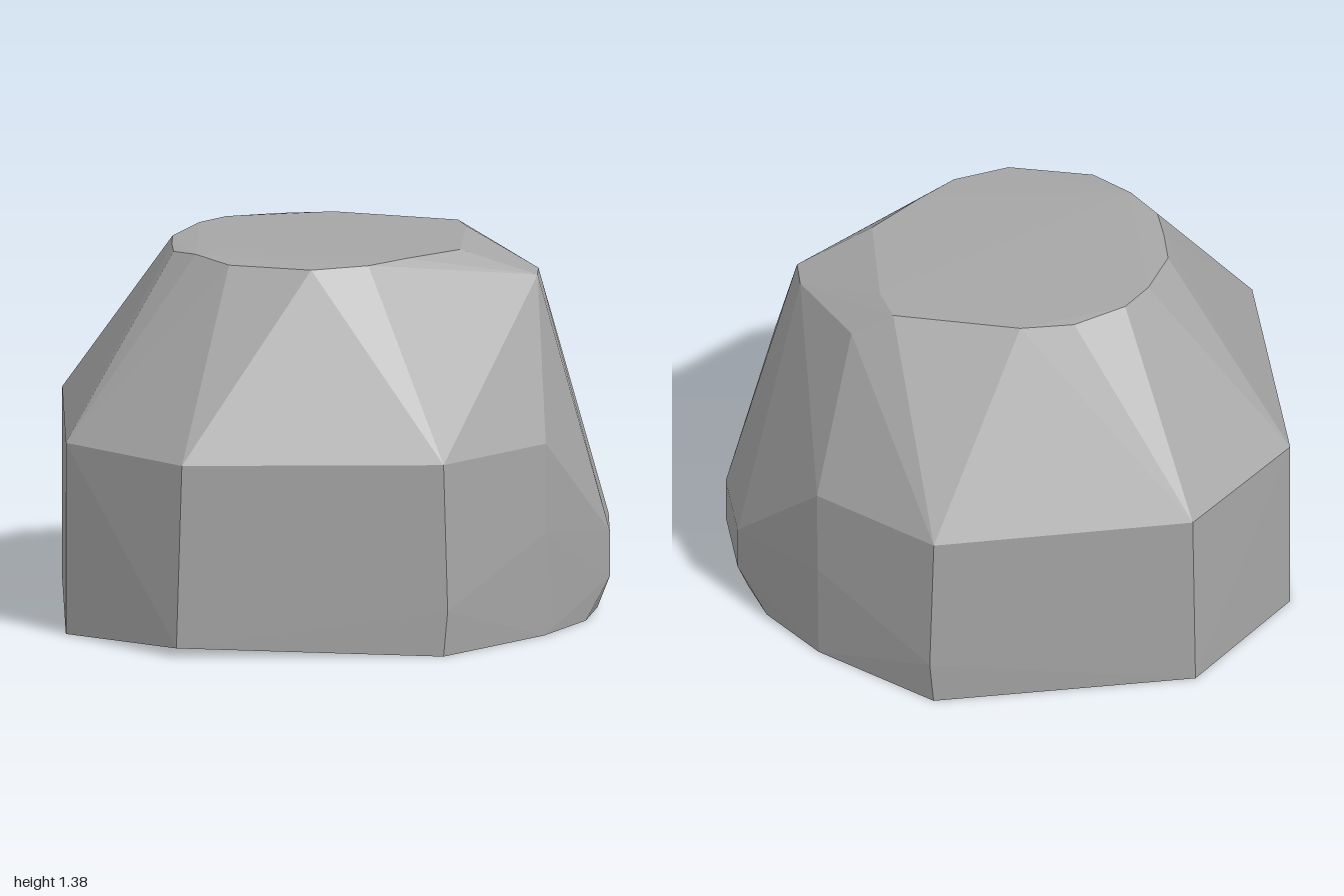
import * as THREE from 'three';
import { ConvexGeometry } from 'three/addons/geometries/ConvexGeometry.js';

export function createModel() {
  const group = new THREE.Group();
  const stone = new THREE.MeshStandardMaterial({ color: 0xa6a6a6 });
  stone.name = 'stoneGrey';
  const points = [];
  const add = (x, y, z) => points.push(new THREE.Vector3(x, y, z));

  // Lower body: corners mirrored front to back
  const sides = [
    [-1, 0, 0.47], [-1, 0.72, 0.48],
    [-0.58, 0.72, 0.88], [0.38, 0.72, 0.88], [0.395, 0.17, 0.88], [0.38, 0, 0.875],
    [0.76, 0.72, 0.52], [0.76, 0.39, 0.53], [0.755, 0, 0.52],
    [1, 0.31, 0.15], [1, 0.14, 0.15], [0.91, 0, 0.27], [0.955, 0.015, 0.11],
  ];
  for (const [x, y, z] of sides) { add(x, y, z); add(x, y, -z); }
  add(-0.6, 0.035, 0.88);
  add(-0.59, 0, -0.88);

  // Irregular rim of the flat top, as x, z, y
  const rim = [
    [-0.6, -0.12, 1.365], [-0.605, 0.02, 1.365], [-0.6, 0.15, 1.365],
    [-0.52, 0.27, 1.38], [-0.4, 0.41, 1.37], [-0.1, 0.5, 1.37],
    [0.11, 0.45, 1.375], [0.25, 0.35, 1.38], [0.45, 0.2, 1.38],
    [0.48, -0.2, 1.38], [0.45, -0.33, 1.375], [0, -0.475, 1.375],
    [-0.2, -0.475, 1.37], [-0.4, -0.4, 1.375], [-0.5, -0.3, 1.375],
  ];
  for (const [x, z, y] of rim) add(x, y, z);

  // Sloping shoulder beside the top
  add(0.735, 1.275, 0.155);
  add(0.74, 1.275, 0.04);
  add(0.6, 1.285, -0.3);

  const boulder = new THREE.Mesh(new ConvexGeometry(points), stone);
  boulder.name = 'boulder';
  group.add(boulder);
  return group;
}
